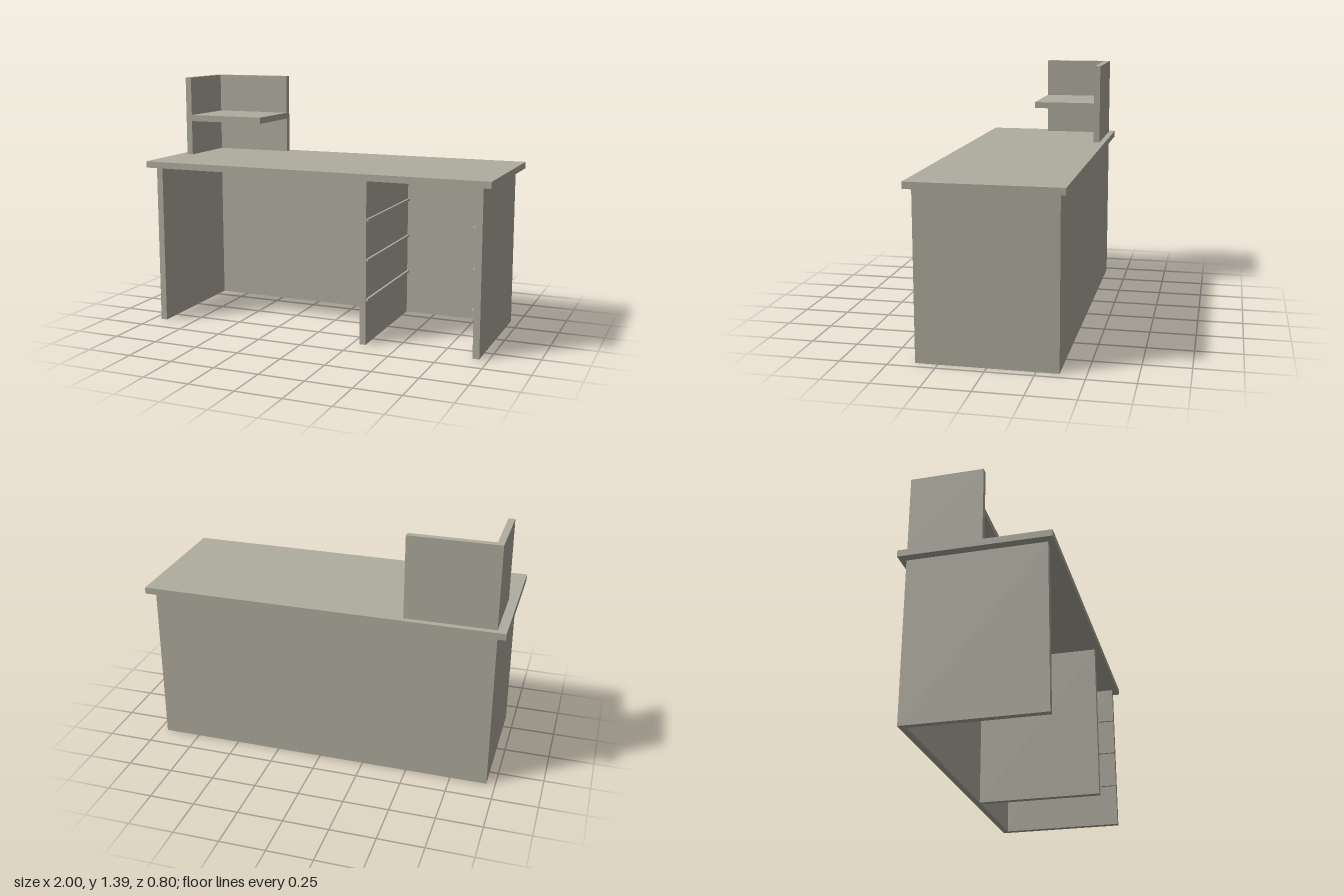
import * as THREE from 'three';

export function createModel() {
  const desk = new THREE.Group();
  desk.name = 'desk';

  const board = new THREE.MeshStandardMaterial({ color: 0xb0ad9f });
  board.name = 'warm grey board';

  // Box given by its limits on each axis
  function panel(name, [x0, x1], [y0, y1], [z0, z1], parent = desk) {
    const mesh = new THREE.Mesh(new THREE.BoxGeometry(x1 - x0, y1 - y0, z1 - z0), board);
    mesh.name = name;
    mesh.position.set((x0 + x1) / 2, (y0 + y1) / 2, (z0 + z1) / 2);
    parent.add(mesh);
    return mesh;
  }

  const T = 0.036; // board thickness
  const topY = 0.933;
  const underY = topY - T;
  const outer = 0.952;
  const inner = outer - T;
  const back = -0.367;
  const front = 0.367;

  // Worktop and carcass
  panel('worktop', [-1, 1], [underY, topY], [-0.4, 0.4]);
  panel('rightSide', [-outer, -inner], [0, underY], [back, front]);
  panel('leftSide', [inner, outer], [0, underY], [back, front]);
  panel('backPanel', [-inner, inner], [0, underY], [back, back + T]);
  panel('divider', [0.29, 0.326], [0, underY], [back + T, front]);

  // Drawer runners, a pair at each of three heights
  const runners = new THREE.Group();
  runners.name = 'drawerRunners';
  desk.add(runners);
  for (const y of [0.25, 0.467, 0.684]) {
    const span = [y - 0.0065, y + 0.0065];
    panel('dividerRunner', [0.326, 0.339], span, [back + T, front], runners);
    panel('sideRunner', [inner - 0.014, inner], span, [back + T, front], runners);
  }

  // Corner shelf standing on the worktop
  const hutch = new THREE.Group();
  hutch.name = 'cornerShelf';
  desk.add(hutch);
  const hutchTop = 1.391;
  panel('shelfSide', [-0.95, -0.914], [topY, hutchTop], [back, 0.03], hutch);
  panel('shelfBack', [-0.914, -0.46], [topY, hutchTop], [back, back + T], hutch);
  panel('shelfBoard', [-0.914, -0.46], [1.133, 1.169], [back + T, 0.03], hutch);

  return desk;
}
